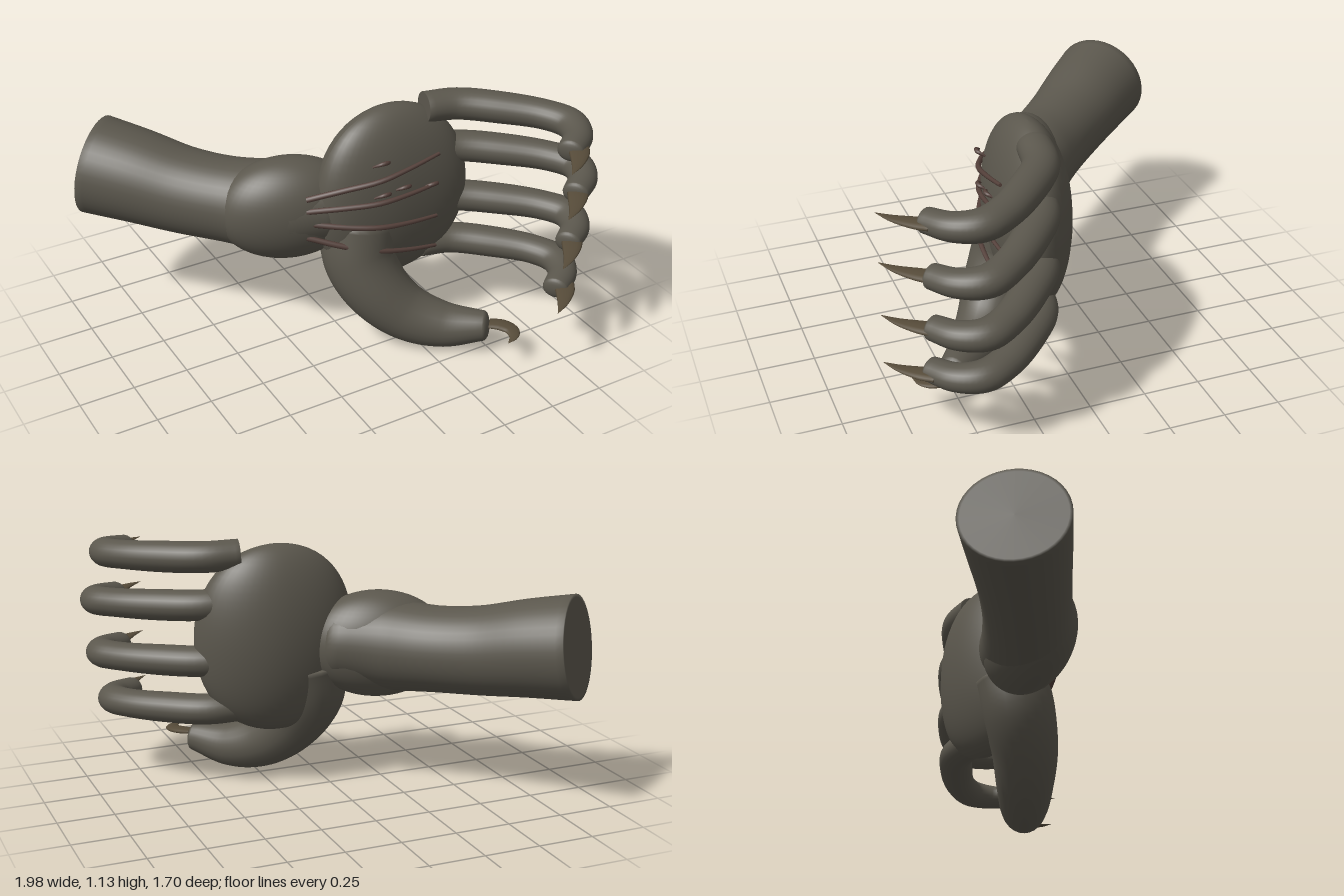
import * as THREE from 'three';

const V = (x, y, z) => new THREE.Vector3(x, y, z);
const skin = new THREE.MeshStandardMaterial({ color: 0x5b574d });
const sinew = new THREE.MeshStandardMaterial({ color: 0x54403a });
const nail = new THREE.MeshStandardMaterial({ color: 0x564b39 });

// Lofts a closed tapering limb; each station is [x, y, z, radius].
// flat scales the thickness along ref, roundEnd is the length of the domed tip.
function limb(stations, { flat = 1, ref = V(0, 1, 0), rings = 28, sides = 24, roundEnd = 0 } = {}) {
  const curve = new THREE.CatmullRomCurve3(stations.map(s => V(s[0], s[1], s[2])));
  const radii = new THREE.CatmullRomCurve3(stations.map((s, i) => V(i * 0.2, s[3], 0)));
  const sections = [];
  const add = (t, scale, push = 0) => sections.push([t, scale, push]);
  add(0, 0); add(0, 0.94); add(0, 1);
  for (let i = 1; i <= rings; i++) add(i / rings, 1);
  for (let i = 1; i <= 6; i++) {
    const a = i / 6 * Math.PI / 2;
    add(1, i === 6 ? 0 : Math.cos(a), Math.sin(a) * roundEnd);
  }
  const pos = [], index = [];
  for (const [t, scale, push] of sections) {
    const tan = curve.getTangent(t);
    const side = ref.clone().cross(tan).normalize();
    const up = tan.clone().cross(side);
    const c = curve.getPoint(t).addScaledVector(tan, push);
    const r = Math.max(radii.getPoint(t).y, 0.001) * scale;
    for (let j = 0; j < sides; j++) {
      const a = j / sides * Math.PI * 2;
      const p = c.clone().addScaledVector(side, Math.cos(a) * r).addScaledVector(up, Math.sin(a) * r * flat);
      pos.push(p.x, p.y, p.z);
    }
  }
  for (let i = 0; i < sections.length - 1; i++) {
    for (let j = 0; j < sides; j++) {
      const k = (j + 1) % sides, a = i * sides, b = a + sides;
      index.push(a + j, a + k, b + j, a + k, b + k, b + j);
    }
  }
  const g = new THREE.BufferGeometry();
  g.setAttribute('position', new THREE.Float32BufferAttribute(pos, 3));
  g.setIndex(index);
  g.computeVertexNormals();
  return g;
}

function ellipsoid(rx, ry, rz) {
  return new THREE.SphereGeometry(1, 48, 32).scale(rx, ry, rz);
}

export function createModel() {
  const model = new THREE.Group();
  model.name = 'clawedHand';
  const add = (name, geometry, material, parent = model) => {
    const m = new THREE.Mesh(geometry, material);
    m.name = name;
    parent.add(m);
    return m;
  };

  // Forearm narrowing towards the wrist
  add('forearm', limb([
    [-0.83, 0.725, -0.7, 0.225], [-0.7, 0.7, -0.56, 0.212], [-0.55, 0.665, -0.4, 0.195],
    [-0.4, 0.65, -0.25, 0.19], [-0.24, 0.65, -0.1, 0.2], [-0.05, 0.66, 0, 0.17],
  ], { sides: 40, roundEnd: 0.1 }), skin);

  // Swollen wrist
  const wrist = add('wrist', ellipsoid(0.32, 0.24, 0.18), skin);
  wrist.position.set(-0.2, 0.65, -0.06);
  wrist.rotation.y = -0.32;

  // Palm: a squared-off ellipsoid with a fuller front near the heel
  const palmShape = ellipsoid(0.36, 0.42, 0.17);
  const p = palmShape.attributes.position;
  for (let i = 0; i < p.count; i++) {
    const x = p.getX(i), y = p.getY(i);
    p.setZ(i, p.getZ(i) + 0.1 * x * x / 0.13 * (x > 0 ? 0.6 : 0.1));
    p.setX(i, x * (1 + 0.12 * Math.pow(y / 0.42, 2)));
  }
  palmShape.computeVertexNormals();
  add('palm', palmShape, skin).position.set(0.22, 0.685, 0.08);

  // Four hooked fingers, each with a flat claw: [base y, tip y, tip x offset]
  const fingers = [[1.065, 1.025, -0.05], [0.855, 0.81, 0], [0.6, 0.57, -0.015], [0.38, 0.345, -0.06]];
  const bones = [
    [0.38, 0.11, 0.075], [0.54, 0.14, 0.077], [0.7, 0.25, 0.077], [0.85, 0.39, 0.072],
    [0.915, 0.5, 0.072], [0.88, 0.6, 0.064], [0.785, 0.675, 0.056],
  ];
  fingers.forEach(([y0, y1, dx], n) => {
    const finger = new THREE.Group();
    finger.name = 'finger' + (n + 1);
    model.add(finger);
    add('fingerFlesh', limb(bones.map(([x, z, r], i) => {
      const t = i / (bones.length - 1);
      return [x + dx * Math.min(1, t * 1.5), y0 + (y1 - y0) * t, z, r];
    }), { flat: 0.88, rings: 36, roundEnd: 0.02 }), skin, finger);
    add('claw', limb([
      [0.8 + dx * 0.4, y1 + 0.003, 0.67, 0.045], [0.76 + dx * 0.3, y1 + 0.003, 0.72, 0.042],
      [0.69 + dx * 0.2, y1 + 0.002, 0.79, 0.023], [0.62 + dx * 0.1, y1 + 0.002, 0.84, 0.001],
    ], { flat: 0.3, rings: 10, sides: 12 }), nail, finger);
  });

  // Thumb sweeping down from the heel of the palm
  add('thumb', limb([
    [0.08, 0.58, 0.08, 0.17], [0.06, 0.42, 0.11, 0.165], [0.1, 0.28, 0.18, 0.15],
    [0.2, 0.16, 0.27, 0.13], [0.33, 0.108, 0.38, 0.106], [0.475, 0.127, 0.51, 0.068],
  ], { ref: V(1, 0, -1), rings: 40, roundEnd: 0.025 }), skin);
  add('thumbClaw', limb([
    [0.49, 0.145, 0.53, 0.035], [0.53, 0.145, 0.565, 0.04], [0.55, 0.143, 0.61, 0.036],
    [0.53, 0.142, 0.66, 0.022], [0.48, 0.142, 0.69, 0.001],
  ], { flat: 0.3, rings: 16, sides: 12 }), nail);

  // Raised tendons fanning across the palm
  [[0.77, 0.91], [0.71, 0.765], [0.65, 0.6], [0.58, 0.445]].forEach(([y0, y1], n) => {
    const y = t => y0 + (y1 - y0) * Math.pow(t, 0.8);
    add('tendon' + (n + 1), limb([
      [-0.2, y(0), 0.11, 0.013], [-0.06, y(0.25), 0.19, 0.013],
      [0.08, y(0.5), 0.25, 0.012], [0.22, y(0.75), 0.262, 0.01], [0.37, y(1), 0.255, 0.008],
    ], { rings: 20, sides: 8 }), sinew);
  });

  // Small torn ridges between the tendons
  [[0.09, 0.93], [0.1, 0.775], [0.2, 0.785], [0.34, 0.76]].forEach(([x, y], n) => {
    const z = 0.25;
    add('tornRidge' + (n + 1), limb([
      [x - 0.04, y - 0.01, z - 0.015, 0.004], [x - 0.01, y + 0.008, z + 0.01, 0.009],
      [x + 0.02, y + 0.008, z + 0.01, 0.009], [x + 0.04, y - 0.006, z - 0.015, 0.004],
    ], { rings: 10, sides: 8 }), sinew);
  });

  return model;
}
